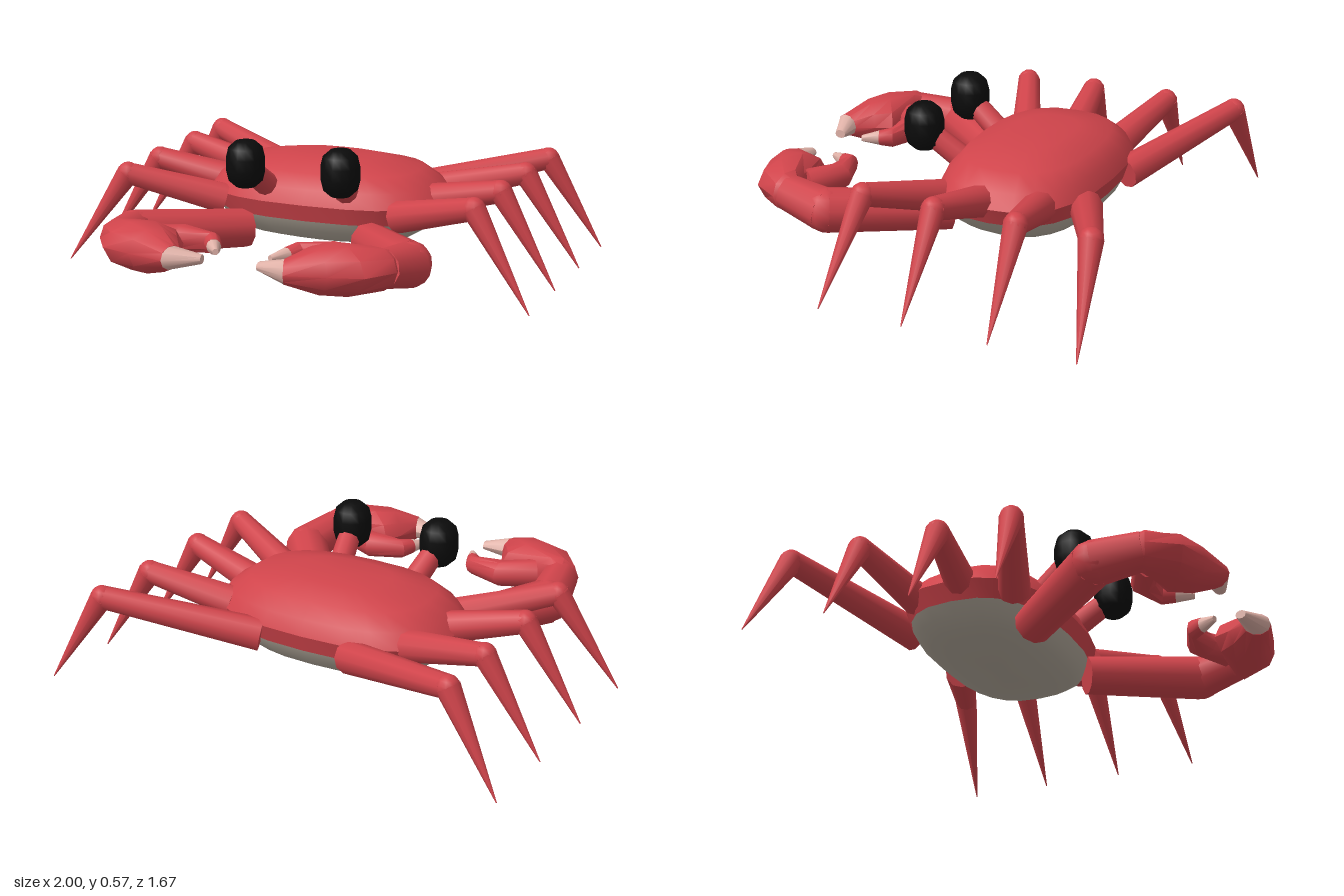
import * as THREE from 'three';
import { toCreasedNormals } from 'three/addons/utils/BufferGeometryUtils.js';

const mat = (name, color) => {
  const m = new THREE.MeshStandardMaterial({ color });
  m.name = name;
  return m;
};
const V = (x, y, z) => new THREE.Vector3(x, y, z);

export function createModel() {
  const red = mat('shellRed', 0xd0444b);
  const cream = mat('bellyCream', 0xb5ab9d);
  const pink = mat('clawTipPink', 0xe0b2a8);
  const black = mat('eyeBlack', 0x0b0b0b);
  const crab = new THREE.Group();
  crab.name = 'crab';

  const add = (parent, name, geometry, material) => {
    const mesh = new THREE.Mesh(geometry, material);
    mesh.name = name;
    parent.add(mesh);
    return mesh;
  };
  const group = (name) => {
    const g = new THREE.Group();
    g.name = name;
    crab.add(g);
    return g;
  };

  // Closed skin through rings that run counter-clockwise about the direction of travel
  const loft = (rings, crease = 0.7) => {
    const n = rings[0].length;
    const pos = [];
    const index = [];
    rings.forEach((ring) => ring.forEach((p) => pos.push(p.x, p.y, p.z)));
    for (let i = 0; i < rings.length - 1; i++) {
      for (let j = 0; j < n; j++) {
        const a = i * n + j;
        const b = i * n + (j + 1) % n;
        index.push(a, b, a + n, b, b + n, a + n);
      }
    }
    [0, rings.length - 1].forEach((r, end) => {
      const c = V(0, 0, 0);
      rings[r].forEach((p) => c.addScaledVector(p, 1 / n));
      const k = pos.length / 3;
      pos.push(c.x, c.y, c.z);
      for (let j = 0; j < n; j++) {
        const a = r * n + j;
        const b = r * n + (j + 1) % n;
        if (end) index.push(k, a, b);
        else index.push(k, b, a);
      }
    });
    const g = new THREE.BufferGeometry();
    g.setAttribute('position', new THREE.Float32BufferAttribute(pos, 3));
    g.setIndex(index);
    return toCreasedNormals(g, crease);
  };

  // Tapered round limb between two points
  const limb = (parent, name, a, b, ra, rb, material = red) => {
    const mesh = add(parent, name, new THREE.CylinderGeometry(rb, ra, a.distanceTo(b), 10), material);
    mesh.position.copy(a).add(b).multiplyScalar(0.5);
    mesh.quaternion.setFromUnitVectors(V(0, 1, 0), b.clone().sub(a).normalize());
  };
  const joint = (parent, name, p, r) =>
    add(parent, name, new THREE.SphereGeometry(r, 10, 8), red).position.copy(p);

  // Shell and belly: squared-off ovals stacked upwards
  const oval = ([y, k]) => Array.from({ length: 24 }, (_, i) => {
    const t = (i / 24) * Math.PI * 2;
    const soft = (v) => Math.sign(v) * Math.abs(v) ** 0.76;
    return V(0.51 * k * soft(Math.sin(t)), y, -0.24 + 0.32 * k * soft(Math.cos(t)));
  });
  add(crab, 'belly', loft([[0.115, 0.45], [0.145, 0.73], [0.185, 0.86], [0.23, 0.93]].map(oval)), cream);
  add(crab, 'shell', loft([[0.23, 0.93], [0.3, 1], [0.36, 0.92], [0.415, 0.76], [0.45, 0.4]].map(oval)), red);

  // Flattened claw section between two edge points (x, z) with half height h
  const claw = (s, stations) => loft(stations.map(([ax, az, bx, bz, h]) => {
    const a = s > 0 ? [ax, az] : [-bx, bz];
    const b = s > 0 ? [bx, bz] : [-ax, az];
    return Array.from({ length: 10 }, (_, i) => {
      const t = (i / 10) * Math.PI * 2;
      const u = (1 + Math.cos(t)) / 2;
      return V(b[0] + (a[0] - b[0]) * u, 0.24 + h * Math.sin(t), b[1] + (a[1] - b[1]) * u);
    });
  }));

  // Walking legs, back to front: root, knee (x, z) and tip z
  const legs = [
    { root: [0.2, 0.25, -0.53], knee: [0.77, -0.79], tip: -0.84 },
    { root: [0.4, 0.3, -0.42], knee: [0.76, -0.49], tip: -0.49 },
    { root: [0.42, 0.3, -0.21], knee: [0.76, -0.155], tip: -0.14 },
    { root: [0.38, 0.27, -0.01], knee: [0.75, 0.15], tip: 0.21 },
  ];

  for (const s of [1, -1]) {
    const side = s > 0 ? 'left' : 'right';

    legs.forEach(({ root, knee, tip }, i) => {
      const leg = group(`${side}Leg${i + 1}`);
      const k = V(s * knee[0], 0.38, knee[1]);
      limb(leg, 'upperLeg', V(s * root[0], root[1], root[2]), k, 0.066, 0.046);
      joint(leg, 'knee', k, 0.047);
      limb(leg, 'shin', k, V(s, 0, tip), 0.048, 0.002);
    });

    // Arm with elbow and wrist
    const arm = group(`${side}Arm`);
    const elbow = V(s * 0.585, 0.21, 0.41);
    limb(arm, 'upperArm', V(s * 0.27, 0.165, 0.02), elbow, 0.08, 0.092);
    joint(arm, 'elbow', elbow, 0.09);
    limb(arm, 'forearm', elbow, V(s * 0.55, 0.24, 0.6), 0.09, 0.075);

    // Pincer: palm with fixed finger, hinged finger, pale tips
    add(arm, 'palm', claw(s, [
      [0.605, 0.56, 0.51, 0.56, 0.065], [0.62, 0.63, 0.45, 0.57, 0.085],
      [0.54, 0.75, 0.28, 0.58, 0.1], [0.41, 0.79, 0.25, 0.65, 0.09], [0.25, 0.83, 0.215, 0.725, 0.047],
    ]), red);
    add(arm, 'palmTip', claw(s, [
      [0.25, 0.83, 0.215, 0.725, 0.046], [0.115, 0.77, 0.12, 0.725, 0.018],
    ]), pink);
    add(arm, 'hingedFinger', claw(s, [
      [0.41, 0.63, 0.48, 0.53, 0.06], [0.33, 0.57, 0.31, 0.45, 0.055],
      [0.21, 0.545, 0.15, 0.51, 0.042], [0.18, 0.585, 0.125, 0.565, 0.032],
    ]), red);
    add(arm, 'fingerTip', claw(s, [
      [0.18, 0.585, 0.125, 0.565, 0.031], [0.125, 0.645, 0.103, 0.635, 0.013],
    ]), pink);

    // Eye on a short stalk
    const eye = group(`${side}Eye`);
    limb(eye, 'eyeStalk', V(s * 0.17, 0.345, 0.01), V(s * 0.2, 0.45, 0.15), 0.05, 0.046);
    const profile = [[0, -0.095], [0.04, -0.093], [0.07, -0.066], [0.08, -0.025],
      [0.08, 0.025], [0.07, 0.066], [0.04, 0.093], [0, 0.095]];
    add(eye, 'eyeball', new THREE.LatheGeometry(profile.map(([r, y]) => new THREE.Vector2(r, y)), 14), black)
      .position.set(s * 0.205, 0.475, 0.17);
  }

  return crab;
}
